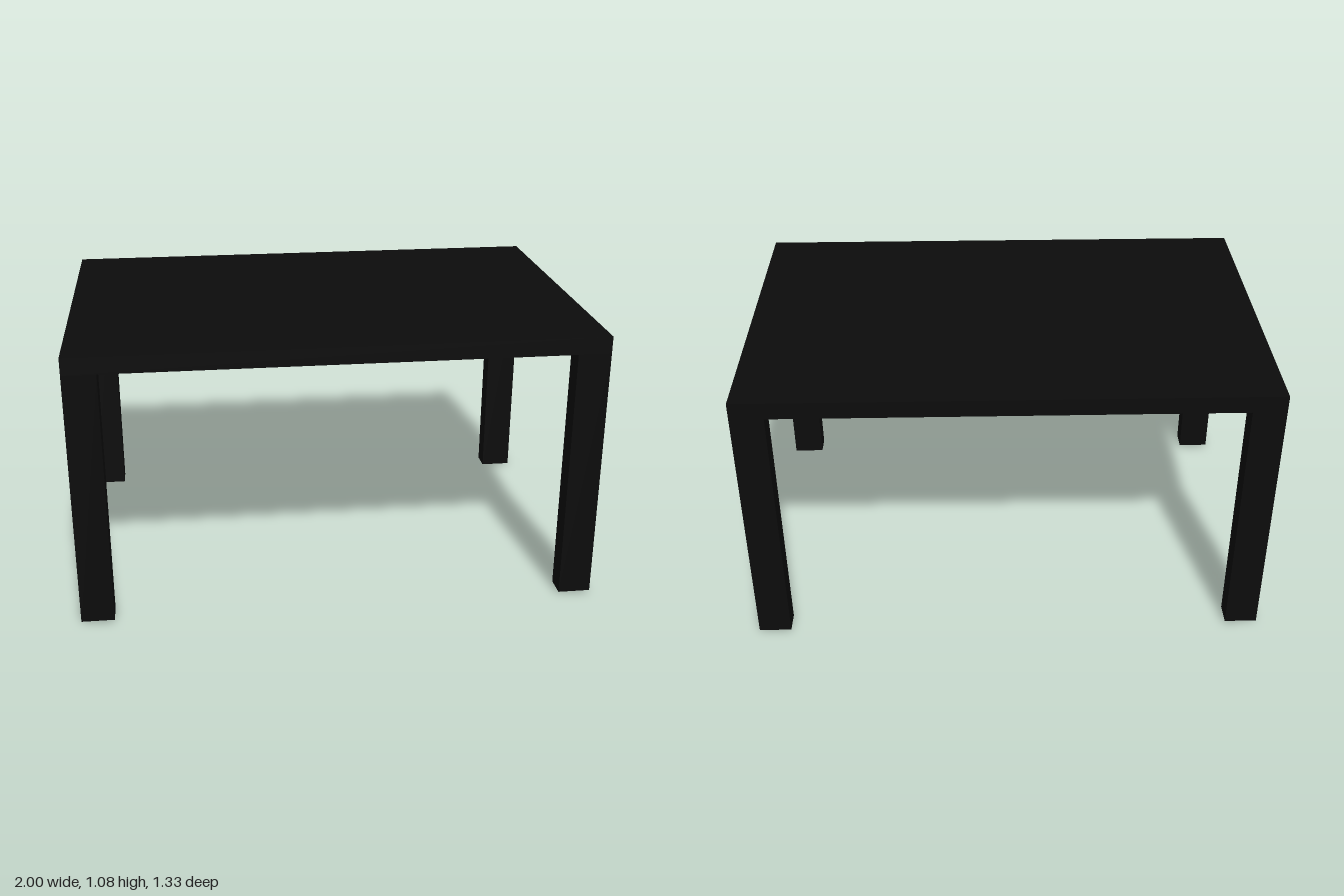
import * as THREE from 'three';

export function createModel() {
  const table = new THREE.Group();
  table.name = 'table';
  const material = new THREE.MeshStandardMaterial({ color: 0x0b0b0b });

  const width = 2, depth = 1.334, height = 1.076, thickness = 0.066;
  const legWidth = 0.126, legDepth = 0.084;
  const underside = height - thickness;

  function addBox(name, w, h, d, x, y, z) {
    const mesh = new THREE.Mesh(new THREE.BoxGeometry(w, h, d), material);
    mesh.name = name;
    mesh.position.set(x, y, z);
    table.add(mesh);
  }

  // Flat slab top
  addBox('tableTop', width, thickness, depth, 0, underside + thickness / 2, 0);

  // Four legs flush with the corners, with slightly uneven feet: [name, x side, z side, foot height]
  const legs = [
    ['frontLeftLeg', 1, 1, 0.01],
    ['frontRightLeg', -1, 1, 0.01],
    ['backLeftLeg', 1, -1, 0],
    ['backRightLeg', -1, -1, 0.006],
  ];
  for (const [name, sx, sz, foot] of legs) {
    addBox(name, legWidth, underside - foot, legDepth,
      sx * (width - legWidth) / 2, (underside + foot) / 2, sz * (depth - legDepth) / 2);
  }
  return table;
}
